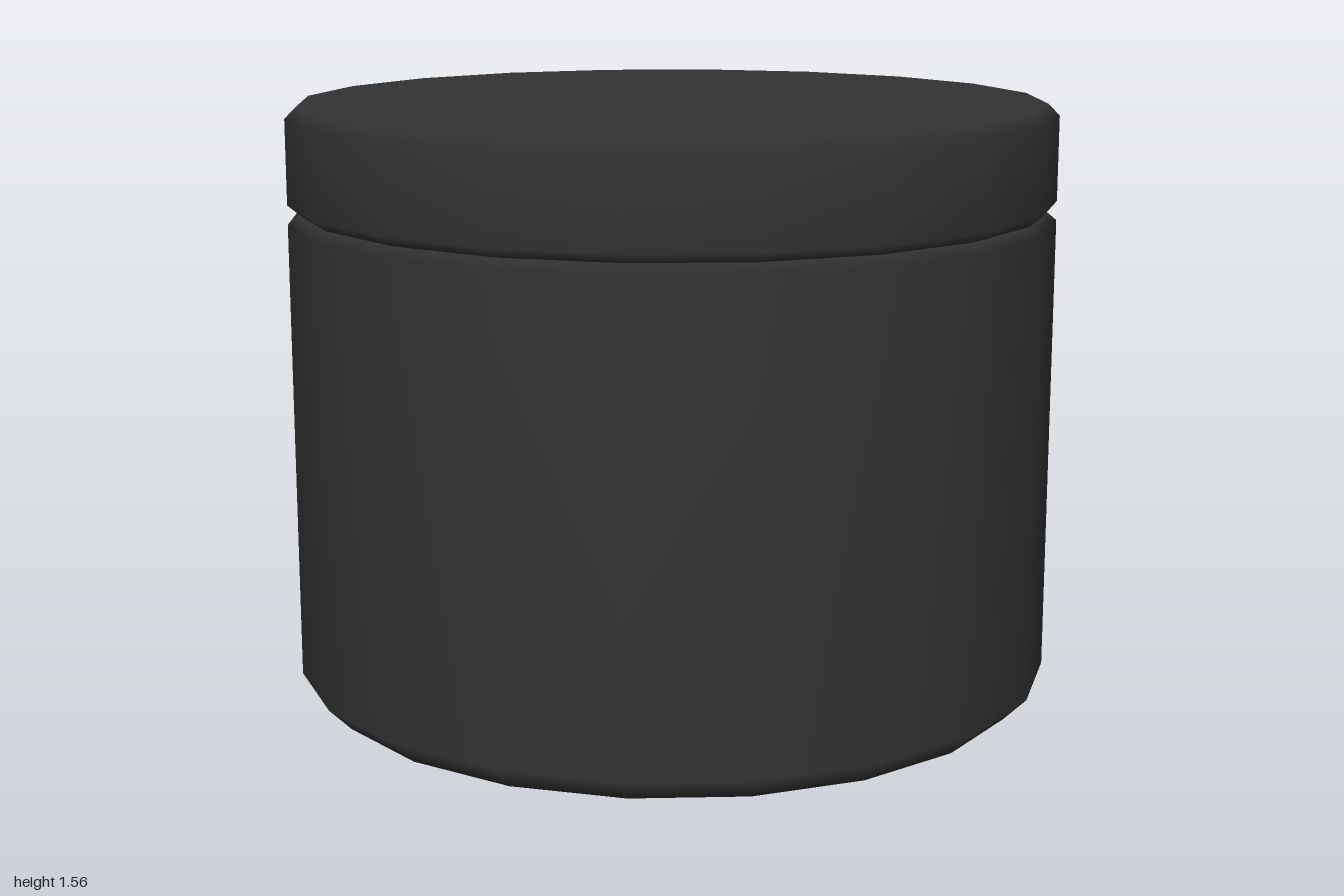
import * as THREE from 'three';

const SIDES = 20;

// Closed round part turned from a profile of [radius, height], bottom to top
function turned(name, profile, material) {
  const points = profile.map(([r, y]) => new THREE.Vector2(r, y));
  const mesh = new THREE.Mesh(new THREE.LatheGeometry(points, SIDES), material);
  mesh.name = name;
  return mesh;
}

export function createModel() {
  const model = new THREE.Group();
  model.name = 'lidded round box';
  const material = new THREE.MeshStandardMaterial({ color: 0x333333 });

  // Body with a wide bevel at the foot and a narrow one under the lid
  model.add(turned('body', [
    [0, 0], [0.94, 0], [1, 0.06], [1, 1.26], [0.97, 1.285], [0, 1.285],
  ], material));

  // Lid, bevelled on both rims so a groove shows at the seam
  model.add(turned('lid', [
    [0, 1.285], [0.97, 1.285], [1, 1.31], [1, 1.53], [0.97, 1.56], [0, 1.56],
  ], material));

  return model;
}
